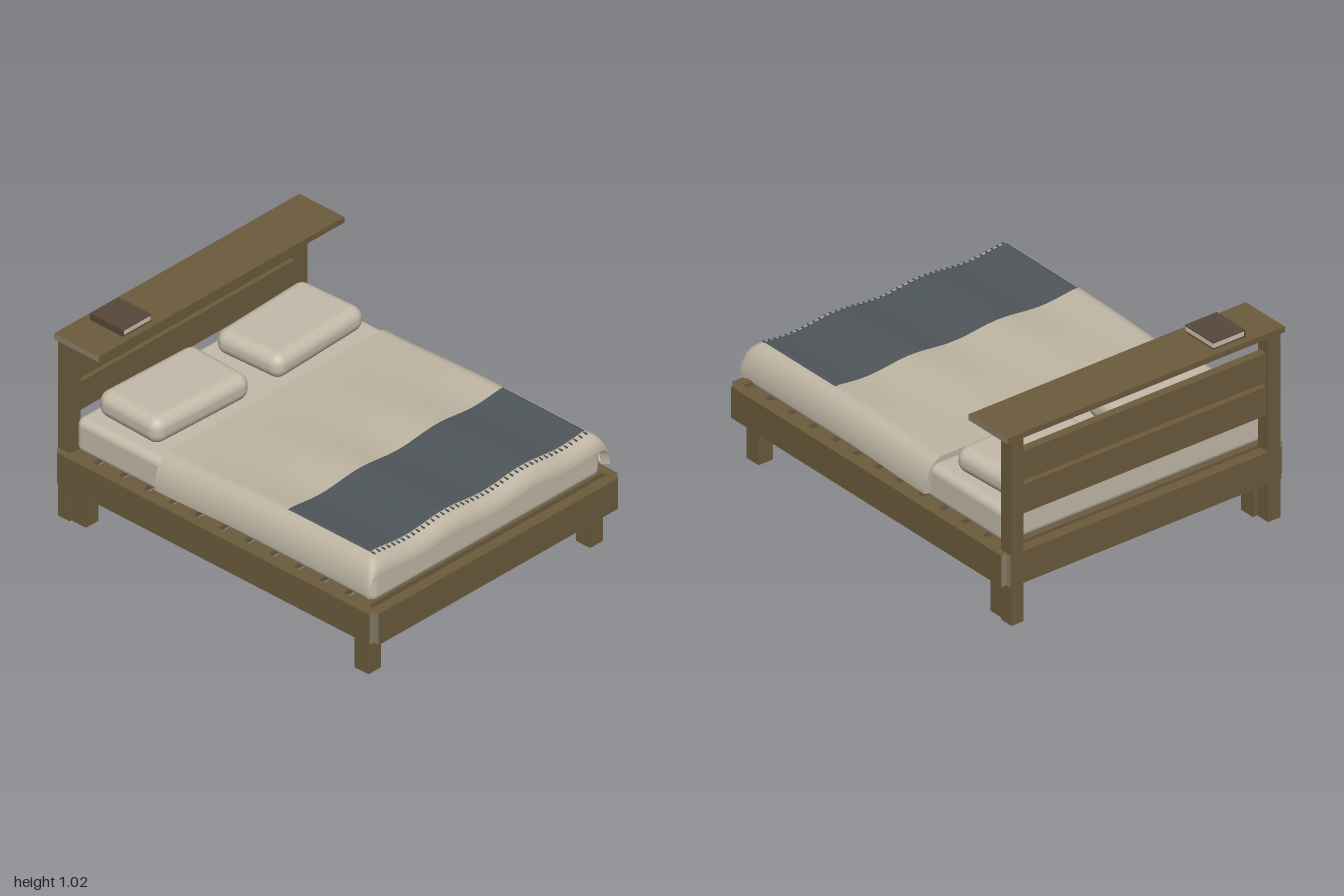
import * as THREE from 'three';
import { RoundedBoxGeometry } from 'three/addons/geometries/RoundedBoxGeometry.js';
import { ParametricGeometry } from 'three/addons/geometries/ParametricGeometry.js';

const material = (name, color, side = THREE.FrontSide) => {
  const m = new THREE.MeshStandardMaterial({ color, side });
  m.name = name;
  return m;
};

export function createModel() {
  const model = new THREE.Group();
  model.name = 'bed';

  const wood = material('wood', 0x6d5c3d);
  const endGrain = material('end grain', 0x8b8069);
  const sheet = material('sheet', 0xc4bbaa);
  const linen = material('linen', 0xbfb5a3, THREE.DoubleSide);
  const wool = material('wool runner', 0x4f5659, THREE.DoubleSide);
  const cover = material('book cover', 0x57483a);
  const paper = material('paper', 0xcdbfae);

  const add = (name, geometry, mat, parent = model) => {
    const mesh = new THREE.Mesh(geometry, mat);
    mesh.name = name;
    parent.add(mesh);
    return mesh;
  };
  // Box given by its limits on each axis
  const box = (name, [x0, x1], [y0, y1], [z0, z1], mat = wood, parent = model) => {
    const mesh = add(name, new THREE.BoxGeometry(x1 - x0, y1 - y0, z1 - z0), mat, parent);
    mesh.position.set((x0 + x1) / 2, (y0 + y1) / 2, (z0 + z1) / 2);
    return mesh;
  };
  const grainX = [endGrain, endGrain, wood, wood, wood, wood];
  const grainZ = [wood, wood, wood, wood, endGrain, endGrain];

  // Frame rails, overlapping at the corners
  box('footRail', [0.945, 1], [0.2, 0.365], [-0.78, 0.78], grainZ);
  box('headRail', [-1, -0.945], [0.2, 0.365], [-0.78, 0.78], grainZ);
  for (const s of [-1, 1]) {
    const span = (a, b) => (s > 0 ? [a, b] : [-b, -a]);
    const side = s > 0 ? 'left' : 'right';
    box(side + 'SideRail', [-0.97, 0.97], [0.201, 0.364], span(0.757, 0.81), grainX);
    box(side + 'HeadPost', [-0.999, -0.925], [0, 0.955], span(0.705, 0.775));
    box(side + 'HeadLeg', [-0.92, -0.835], [0, 0.34], span(0.68, 0.763));
    box(side + 'FootLeg', [0.832, 0.92], [0, 0.34], span(0.68, 0.763));
  }

  // Headboard boards and shelf
  box('upperHeadboard', [-0.985, -0.94], [0.722, 0.873], [-0.706, 0.706]);
  box('lowerHeadboard', [-0.985, -0.94], [0.55, 0.7], [-0.706, 0.706]);
  box('shelf', [-1, -0.72], [0.955, 0.984], [-0.8, 0.8], grainZ);

  // Slats under the mattress
  const slats = new THREE.Group();
  slats.name = 'slats';
  model.add(slats);
  for (let i = 0; i < 12; i++) {
    const x = -0.86 + i * 0.156;
    box('slat', [x - 0.06, x + 0.06], [0.335, 0.363], [-0.76, 0.76], wood, slats);
  }

  // Mattress
  add('mattress', new RoundedBoxGeometry(1.85, 0.182, 1.494, 5, 0.04), sheet)
    .position.set(0.005, 0.456, 0);

  // Pillows
  for (const [name, z, turn, top] of [['leftPillow', 0.372, -0.035, 0.677], ['rightPillow', -0.382, 0.045, 0.668]]) {
    const height = top - 0.54;
    const pillow = add(name, new RoundedBoxGeometry(0.395, height, 0.605, 8, 0.058), sheet);
    pillow.position.set(-0.661, 0.54 + height / 2, z);
    pillow.rotation.y = turn;
  }

  // Blanket height: gentle waves on top, rounding down at the sides and foot
  const fall = (d, reach) => 1 - Math.sqrt(1 - THREE.MathUtils.clamp(d / reach, 0, 1) ** 2);
  const height = (x, z) => {
    const rise = 0.577 + 0.014 * THREE.MathUtils.smoothstep(x, -0.39, 0.25);
    const wave = -0.01 * Math.cos(12.5 * z + 0.5 * x) * THREE.MathUtils.smoothstep(x, -0.39, 0.4);
    const drop = Math.hypot(0.165 * fall(Math.abs(z) - 0.68, 0.105), 0.09 * fall(x - 0.86, 0.085));
    return rise + wave - drop;
  };
  // Even steps along the flat part, then around the rounded edge
  const around = (t, flat, edge, reach) =>
    t < flat ? (t / flat) * edge : edge + reach * Math.sin(((t - flat) / (1 - flat)) * Math.PI / 2);
  const blanketPoint = (u, v, inset, target) => {
    const t = u * 2 - 1;
    const z = Math.sign(t) * around(Math.abs(t), 0.8, 0.68, 0.105);
    const x = -0.39 + around(v, 0.85, 1.25, 0.085);
    const y = height(x, z);
    const down = Math.abs(t) < 0.9 && v < 0.9 ? inset : 0;
    target.set(x - inset * (v > 0.9 ? 1 : 0), y - down, z - Math.sign(t) * inset * (Math.abs(t) >= 0.9 ? 1 : 0));
  };
  const blanket = new THREE.Group();
  blanket.name = 'blanket';
  model.add(blanket);
  add('blanketTop', new ParametricGeometry((u, v, p) => blanketPoint(u, v, 0, p), 80, 60), linen, blanket);
  // Turned hems give the blanket its thickness
  const hem = (name, edge) =>
    add(name, new ParametricGeometry((u, v, p) => blanketPoint(...edge(u), v * 0.03, p), 80, 1), linen, blanket);
  hem('headHem', (u) => [u, 0]);
  hem('footHem', (u) => [u, 1]);
  hem('leftHem', (u) => [1, u]);
  hem('rightHem', (u) => [0, u]);

  // Runner lying across the foot of the blanket
  add('runner', new ParametricGeometry((u, v, p) => {
    const x = 0.36 + v * 0.51;
    const z = (u * 2 - 1) * 0.7;
    p.set(x, height(x, z) + 0.007, z);
  }, 60, 24), wool);
  const fringe = new THREE.Group();
  fringe.name = 'runnerFringe';
  model.add(fringe);
  for (let i = 0; i < 44; i++) {
    const z = -0.69 + (i * 1.38) / 43;
    const y = height(0.88, z);
    box('tassel', [0.87, 0.892], [y - 0.002, y + 0.005], [z - 0.003, z + 0.003], wool, fringe);
  }

  // Book on the shelf
  const book = new THREE.Group();
  book.name = 'book';
  model.add(book);
  box('backCover', [-0.96, -0.755], [0.984, 0.989], [0.42, 0.605], cover, book);
  box('frontCover', [-0.96, -0.755], [1.015, 1.02], [0.42, 0.605], cover, book);
  box('spine', [-0.96, -0.755], [0.989, 1.015], [0.6, 0.605], cover, book);
  box('pages', [-0.957, -0.758], [0.989, 1.015], [0.423, 0.6], paper, book);

  return model;
}
